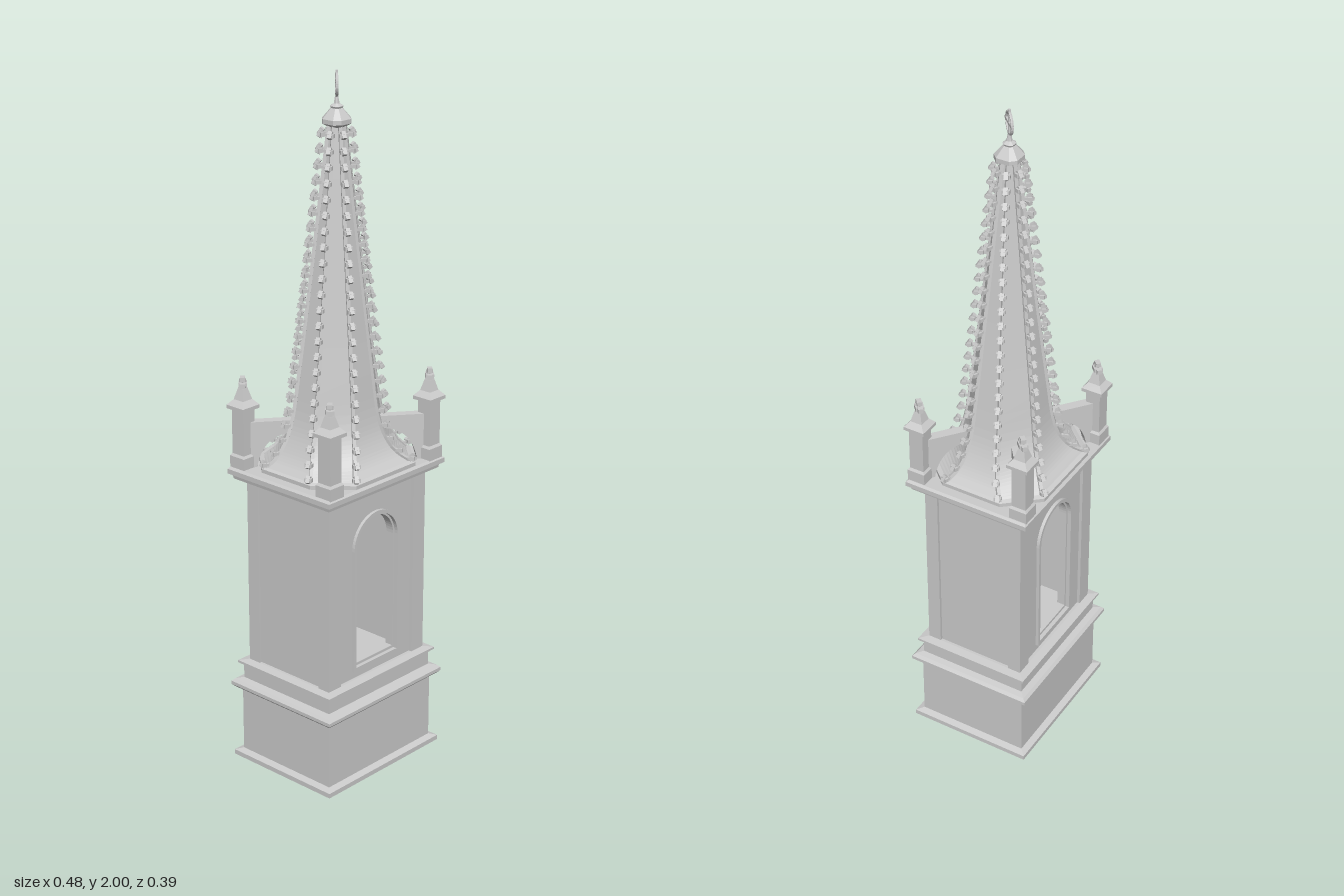
import * as THREE from 'three';
import { mergeGeometries } from 'three/addons/utils/BufferGeometryUtils.js';

const material = new THREE.MeshStandardMaterial({ color: 0xcccccc, flatShading: true, side: THREE.DoubleSide });
const HX = 0.2, HZ = 0.155; // half width and half depth of the tower shaft

function add(parent, name, geometry) {
  const mesh = new THREE.Mesh(geometry, material);
  mesh.name = name;
  parent.add(mesh);
  return mesh;
}

function box(w, h, d, x = 0, y = 0, z = 0) {
  return new THREE.BoxGeometry(w, h, d).translate(x, y, z);
}

// Skin between successive closed sections, each a list of Vector3
function loft(sections) {
  const pos = [];
  const n = sections[0].length;
  for (let s = 0; s < sections.length - 1; s++) {
    const a = sections[s], b = sections[s + 1];
    for (let i = 0; i < n; i++) {
      const j = (i + 1) % n;
      for (const p of [a[i], a[j], b[j], a[i], b[j], b[i]]) pos.push(p.x, p.y, p.z);
    }
  }
  const g = new THREE.BufferGeometry();
  g.setAttribute('position', new THREE.Float32BufferAttribute(pos, 3));
  g.computeVertexNormals();
  return g;
}

const rect = (x, z, y) => [[-x, z], [x, z], [x, -z], [-x, -z]].map(([px, pz]) => new THREE.Vector3(px, y, pz));

// Rectangular moulding; profile rows are [height, offset from the shaft face]
const moulding = (profile) => loft(profile.map(([y, d]) => rect(HX + d, HZ + d, y)));

// Square turned piece; profile rows are [height, half width]
const squareTurned = (profile) => loft(profile.map(([y, r]) => rect(r, r, y)));

// Octagon section from a front corner (ax, az) and a side corner (bx, bz)
function octagon(a, b) {
  return [[-a.x, a.z], [a.x, a.z], [b.x, b.z], [b.x, -b.z], [a.x, -a.z], [-a.x, -a.z], [-b.x, -b.z], [-b.x, b.z]]
    .map(([x, z]) => new THREE.Vector3(x, a.y, z));
}

// Round-headed opening outline
function arch(path, r, bottom, spring) {
  path.moveTo(-r, bottom);
  path.lineTo(r, bottom);
  path.lineTo(r, spring);
  path.absarc(0, spring, r, 0, Math.PI, false);
  path.lineTo(-r, bottom);
  return path;
}

const extrude = (shape, depth) => new THREE.ExtrudeGeometry(shape, { depth, bevelEnabled: false, curveSegments: 14 });

// One leaf ornament pointing along +x
function crocket() {
  return mergeGeometries([
    box(0.026, 0.008, 0.008, 0.011, 0, 0),
    box(0.011, 0.011, 0.022, 0.019, 0.003, 0),
    box(0.012, 0.02, 0.012).rotateZ(0.6).translate(0.02, 0.004, 0),
  ]);
}

function buildShaft(group) {
  const shaft = new THREE.Group();
  shaft.name = 'shaft';
  group.add(shaft);
  const y0 = 0.3, y1 = 0.87, h = y1 - y0, ym = (y0 + y1) / 2;
  for (const s of [1, -1]) {
    for (const t of [1, -1]) add(shaft, 'cornerPier', box(0.05, h, 0.04, s * 0.175, ym, t * 0.135));
    add(shaft, 'sideWall', box(0.03, h, 0.23, s * 0.177, ym, 0));

    // Pierced wall and projecting window surround
    const wall = new THREE.Shape();
    wall.moveTo(-0.15, y0);
    wall.lineTo(0.15, y0);
    wall.lineTo(0.15, y1);
    wall.lineTo(-0.15, y1);
    wall.holes.push(arch(new THREE.Path(), 0.085, 0.34, 0.7));
    const surround = arch(new THREE.Shape(), 0.095, 0.33, 0.7);
    surround.holes.push(arch(new THREE.Path(), 0.085, 0.342, 0.7));
    const lining = arch(new THREE.Shape(), 0.0855, 0.34, 0.7);
    lining.holes.push(arch(new THREE.Path(), 0.079, 0.35, 0.7));
    const turn = s > 0 ? 0 : Math.PI;
    add(shaft, 'windowWall', extrude(wall, 0.03).translate(0, 0, 0.116).rotateY(turn));
    add(shaft, 'windowSurround', extrude(surround, 0.02).translate(0, 0, 0.135).rotateY(turn));
    add(shaft, 'windowLining', extrude(lining, 0.025).translate(0, 0, 0.118).rotateY(turn));
  }
}

function buildSpire(group) {
  const spire = new THREE.Group();
  spire.name = 'spire';
  group.add(spire);

  // Flared rib lines: front corner and side corner of the octagon
  const curve = (rows) => new THREE.CatmullRomCurve3(rows.map((p) => new THREE.Vector3(...p)));
  const frontRib = curve([[0.115, 0.915, 0.172], [0.085, 0.945, 0.145], [0.065, 0.985, 0.125],
    [0.052, 1.04, 0.11], [0.042, 1.18, 0.093], [0.008, 1.87, 0.018]]);
  const sideRib = curve([[0.195, 0.915, 0.085], [0.172, 0.945, 0.065], [0.152, 0.985, 0.052],
    [0.134, 1.04, 0.044], [0.111, 1.18, 0.037], [0.02, 1.87, 0.008]]);
  const sections = [];
  for (let i = 0; i <= 24; i++) sections.push(octagon(frontRib.getPoint(i / 24), sideRib.getPoint(i / 24)));
  add(spire, 'spireFaces', loft(sections));

  // Octagonal step under the spire
  const step = (ax, az, bx, bz, y) => octagon(new THREE.Vector3(ax, y, az), new THREE.Vector3(bx, y, bz));
  add(spire, 'spireStep', loft([step(0.122, 0.185, 0.205, 0.092, 0.9), step(0.122, 0.185, 0.205, 0.092, 0.913),
    step(0.115, 0.172, 0.195, 0.085, 0.917)]));

  // Ribs with rows of crockets, mirrored to all eight edges
  const count = 23;
  for (const rib of [frontRib, sideRib]) {
    for (const sx of [1, -1]) for (const sz of [1, -1]) {
      const mirror = (p) => new THREE.Vector3(p.x * sx, p.y, p.z * sz);
      const line = new THREE.CatmullRomCurve3(rib.points.map(mirror));
      add(spire, 'rib', new THREE.TubeGeometry(line, 28, 0.007, 4, false));
      const leaves = [];
      for (let i = 0; i < count; i++) {
        const p = line.getPointAt(0.015 + 0.945 * i / (count - 1));
        leaves.push(crocket().rotateY(Math.atan2(-p.z, p.x)).translate(p.x, p.y, p.z));
      }
      add(spire, 'crockets', mergeGeometries(leaves));
    }
  }

  // Collar, knob and ringed cross, turned to the diagonal
  const cap = [[1.85, 0.02], [1.86, 0.035], [1.872, 0.035], [1.9, 0.014], [1.905, 0.016], [1.912, 0.007], [1.93, 0.004]];
  add(spire, 'collar', loft(cap.map(([y, r]) => step(r * 0.55, r, r, r * 0.55, y))));
  const cross = new THREE.Group();
  cross.name = 'ringedCross';
  cross.position.y = 1.962;
  cross.rotation.y = Math.PI / 4;
  spire.add(cross);
  add(cross, 'ring', new THREE.TorusGeometry(0.029, 0.004, 6, 28));
  add(cross, 'upright', box(0.007, 0.08, 0.007, 0, -0.002, 0));
  add(cross, 'crossbar', box(0.07, 0.007, 0.007));
}

function buildPinnacle(group, sx, sz) {
  const cx = 0.203, cz = 0.163;
  const pinnacle = new THREE.Group();
  pinnacle.name = 'pinnacle';
  pinnacle.position.set(sx * cx, 0, sz * cz);
  group.add(pinnacle);
  add(pinnacle, 'pinnacleShaft', squareTurned([[0.9, 0.027], [0.935, 0.027], [0.942, 0.022], [1.07, 0.022],
    [1.074, 0.032], [1.084, 0.032], [1.1, 0.018], [1.13, 0.01], [1.14, 0.007], [1.16, 0.007], [1.16, 0]]));
  add(pinnacle, 'pinnacleFinial', mergeGeometries([
    box(0.044, 0.014, 0.014, 0, 1.143, 0),
    box(0.026, 0.012, 0.024, 0, 1.143, 0),
    box(0.02, 0.012, 0.014, 0, 1.159, 0),
  ]).rotateY(Math.PI / 4));

  // Flying buttress running in to the diagonal face of the spire
  const shape = new THREE.Shape();
  shape.moveTo(0, 0.9);
  shape.lineTo(0, 1.035);
  shape.lineTo(0.147, 1.035);
  shape.lineTo(0.147, 1.0);
  shape.quadraticCurveTo(0.05, 1.0, 0.035, 0.9);
  add(pinnacle, 'flyingButtress', extrude(shape, 0.028).translate(0, 0, -0.014)
    .rotateY(Math.atan2(sz * cz * 0.97, -sx * cx)));
}

export function createModel() {
  const group = new THREE.Group();
  group.name = 'gothicTower';

  // Hollow pedestal, open underneath, with moulded band
  add(group, 'pedestal', moulding([[0.215, -0.155], [0.215, 0.005], [0, 0.005], [0, 0.034], [0.014, 0.034],
    [0.02, 0.015], [0.215, 0.015], [0.22, 0.03], [0.228, 0.038], [0.238, 0.038], [0.246, 0.03],
    [0.25, 0.012], [0.294, 0.012], [0.297, 0.024], [0.304, 0.024], [0.308, 0.0], [0.308, -0.155]]));

  buildShaft(group);

  add(group, 'cornice', moulding([[0.862, -0.155], [0.862, 0.004], [0.867, 0.026], [0.878, 0.028], [0.882, 0.038],
    [0.896, 0.038], [0.902, 0.032], [0.902, -0.155]]));

  buildSpire(group);
  for (const sx of [1, -1]) for (const sz of [1, -1]) buildPinnacle(group, sx, sz);
  return group;
}
